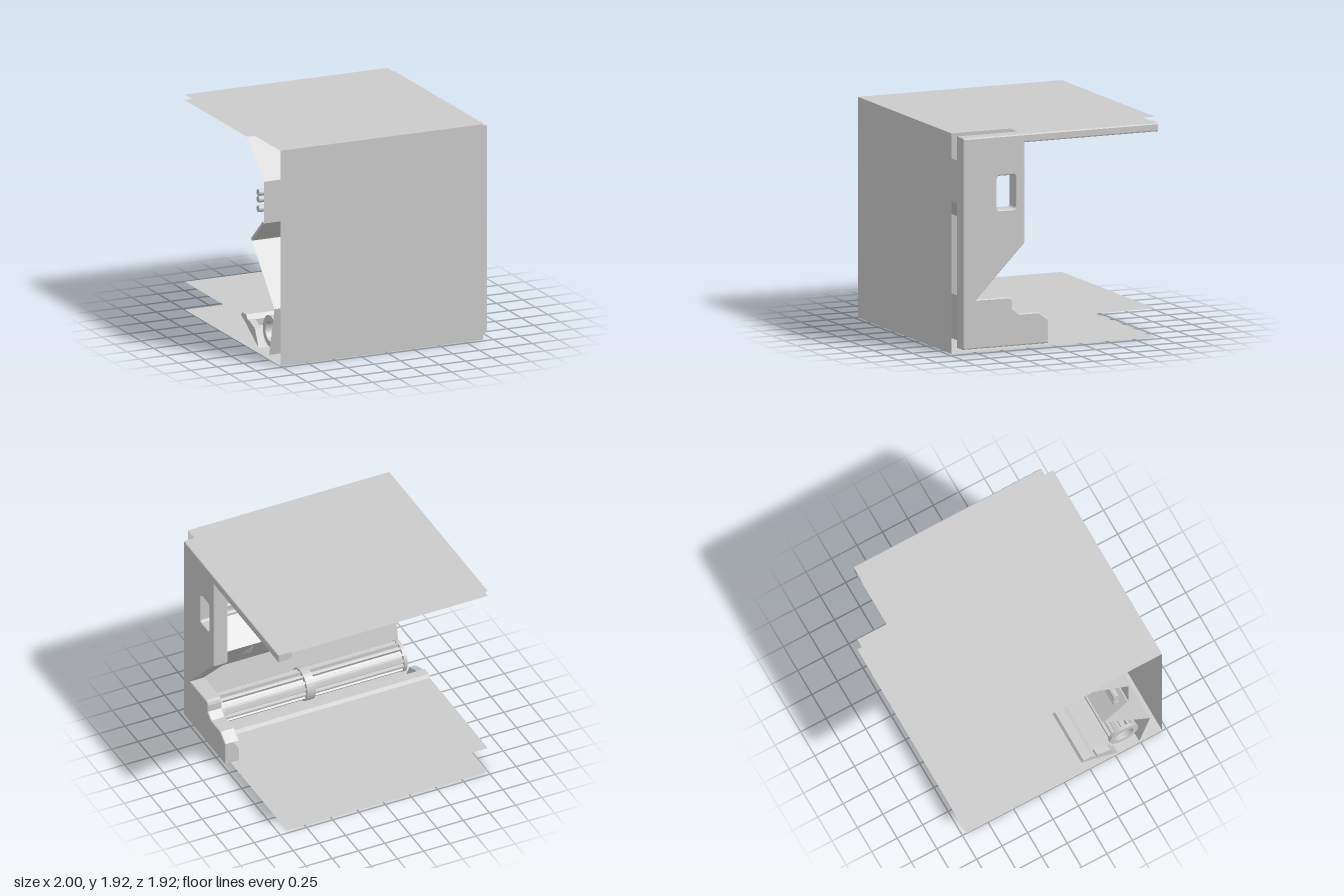
import * as THREE from 'three';

const grey = new THREE.MeshStandardMaterial({ color: 0xcccccc, flatShading: true });
const thin = new THREE.MeshStandardMaterial({ color: 0xcccccc, flatShading: true, side: THREE.DoubleSide });
const smooth = new THREE.MeshStandardMaterial({ color: 0xcccccc });

export function createModel() {
  const model = new THREE.Group();

  const add = (name, geometry, material = grey, parent = model) => {
    const mesh = new THREE.Mesh(geometry, material);
    mesh.name = name;
    parent.add(mesh);
    return mesh;
  };
  const group = (name) => {
    const g = new THREE.Group();
    g.name = name;
    model.add(g);
    return g;
  };
  // Open sheet: a [z, y] profile swept along x
  const sheet = (profile, x0, x1) => {
    const pos = [];
    for (let i = 0; i < profile.length - 1; i++) {
      const [az, ay] = profile[i], [bz, by] = profile[i + 1];
      pos.push(x0, ay, az, x1, ay, az, x1, by, bz, x0, ay, az, x1, by, bz, x0, by, bz);
    }
    const g = new THREE.BufferGeometry();
    g.setAttribute('position', new THREE.Float32BufferAttribute(pos, 3));
    g.computeVertexNormals();
    return g;
  };
  // Solid: a closed [z, y] outline extruded from x0 to x1
  const solid = (outline, x0, x1, bevel = 0, hole = null) => {
    const shape = new THREE.Shape(outline.map(([z, y]) => new THREE.Vector2(z, y)));
    if (hole) shape.holes.push(hole);
    const g = new THREE.ExtrudeGeometry(shape, {
      depth: x1 - x0 - 2 * bevel, bevelEnabled: bevel > 0, bevelSize: bevel,
      bevelThickness: bevel, bevelOffset: -bevel, bevelSegments: 2, curveSegments: 6,
    });
    g.rotateY(-Math.PI / 2);
    g.translate(x1 - bevel, 0, 0);
    return g;
  };
  const rodX = (r, x0, x1, y, z, sides = 14) => {
    const g = new THREE.CylinderGeometry(r, r, x1 - x0, sides);
    g.rotateZ(Math.PI / 2);
    g.translate((x0 + x1) / 2, y, z);
    return g;
  };

  // Outer shell: top, front and bottom sheets, open at the back and one side
  add('outerShell', sheet([[-0.96, 1.92], [0.96, 1.92], [0.96, 0], [-0.96, 0]], -1, 0.92), thin);

  // Folded inner lining: ceiling, back wall, chute, trough and lower deck
  add('innerLining', sheet([
    [-0.96, 1.87], [0.29, 1.87], [0.63, 1.557], [0.63, 1.185], [0.39, 0.97],
    [0.84, 0.476], [0.735, 0.04], [0.52, 0.045], [0.2, 0.25], [-0.96, 0.25],
  ], -1, 0.92), thin);

  // Thick side plate with a rounded window
  const win = new THREE.Path();
  const [z0, z1, y0, y1, r] = [0.39, 0.565, 1.235, 1.53, 0.03];
  win.moveTo(z0 + r, y0);
  win.lineTo(z1 - r, y0).quadraticCurveTo(z1, y0, z1, y0 + r);
  win.lineTo(z1, y1 - r).quadraticCurveTo(z1, y1, z1 - r, y1);
  win.lineTo(z0 + r, y1).quadraticCurveTo(z0, y1, z0, y1 - r);
  win.lineTo(z0, y0 + r).quadraticCurveTo(z0, y0, z0 + r, y0);
  add('sidePlate', solid([
    [0.885, 0.04], [0.885, 1.88], [-0.955, 1.88], [-0.955, 1.805], [0.305, 1.805], [0.305, 0.93],
    [0.76, 0.47], [0.455, 0.47], [0.43, 0.46], [0.42, 0.435], [0.42, 0.37], [0.355, 0.32],
    [0.175, 0.32], [0.08, 0.25], [0.08, 0.04],
  ], 0.86, 1, 0.012, win));

  // Support arm under the ceiling
  add('ceilingArm', solid([
    [0.63, 1.557], [0.63, 1.47], [0.31, 1.77], [0.1, 1.77], [0.07, 1.81], [0.07, 1.87], [0.29, 1.87],
  ], -0.14, -0.02, 0.008));

  // Three pipes along the back wall, turning into it at one end
  const pipes = group('pipes');
  for (const y of [1.285, 1.37, 1.43]) {
    add('pipe', rodX(0.022, -0.98, 0.8, y, 0.51), smooth, pipes);
    add('pipeElbow', new THREE.SphereGeometry(0.022, 14, 8).translate(0.8, y, 0.51), smooth, pipes);
    add('pipeInlet', new THREE.CylinderGeometry(0.022, 0.022, 0.12, 14)
      .rotateX(Math.PI / 2).translate(0.8, y, 0.57), smooth, pipes);
    for (const [a, b] of [[-1, -0.86], [-0.82, -0.74], [0.36, 0.43]]) {
      add('pipeSleeve', rodX(0.03, a, b, y, 0.51), smooth, pipes);
    }
  }

  // Raised slabs on the upper chute: u runs up the slope, h is the height off it
  const chute = group('chutePanels');
  const at = (u, h) => [0.39 + 0.24 * u - 0.667 * h, 0.97 + 0.215 * u + 0.745 * h];
  const slab = (name, x0, x1, u0, u1, h0, h1) =>
    add(name, solid([at(u0, h0), at(u1, h0), at(u1, h1), at(u0, h1)], x0, x1), grey, chute);
  for (const [a, b] of [[-1, -0.76], [-0.35, 0.27], [0.64, 0.86]]) slab('chuteSlab', a, b, 0, 1, 0, 0.025);
  for (const [a, b] of [[-0.76, -0.35], [0.27, 0.64]]) slab('chuteLip', a, b, 0, 0.3, 0, 0.025);
  slab('combRailLow', -0.25, 0.17, 0.3, 0.36, 0.025, 0.035);
  slab('combRailHigh', -0.25, 0.17, 0.72, 0.78, 0.025, 0.035);
  for (let i = 0; i < 18; i++) {
    const x = -0.25 + i * 0.0238;
    slab('combTooth', x, x + 0.012, 0.36, 0.45, 0.025, 0.033);
  }

  // Thin wedge fins under the chute
  const fins = group('fins');
  for (const x of [-0.62, -0.05, 0.57]) {
    add('fin', solid([[0.41, 0.948], [0.47, 0.83], [0.62, 0.718]], x - 0.01, x + 0.01), grey, fins);
  }

  // Ribbed hollow roller lying in the trough
  const roller = group('roller');
  const [ry, rz] = [0.215, 0.62];
  const ring = (name, rIn, rOut, x0, x1) => {
    const pts = [[rIn, x0], [rOut, x0], [rOut, x1], [rIn, x1], [rIn, x0]];
    const g = new THREE.LatheGeometry(pts.map((p) => new THREE.Vector2(...p)), 32);
    g.rotateZ(-Math.PI / 2);
    g.translate(0, ry, rz);
    add(name, g, thin, roller);
  };
  ring('rollerTube', 0.09, 0.105, -0.92, 0.85);
  ring('endRing', 0.09, 0.14, -0.94, -0.91);
  ring('middleCollar', 0.1, 0.15, -0.06, 0.02);
  ring('farCollar', 0.09, 0.15, 0.8, 0.86);
  for (let i = 0; i < 14; i++) {
    const rib = new THREE.BoxGeometry(1.75, 0.035, 0.022);
    rib.translate(-0.04, 0.118, 0);
    rib.rotateX((i / 14) * Math.PI * 2);
    rib.translate(0, ry, rz);
    add('rollerRib', rib, grey, roller);
  }

  // Raised lip where the lower deck meets the trough
  add('deckLip', solid([[0.17, 0.25], [0.19, 0.28], [0.27, 0.28], [0.31, 0.24], [0.31, 0.18]], -1, 0.86));
  add('rollerRest', solid([[0.3, 0.18], [0.32, 0.25], [0.45, 0.2], [0.52, 0.05]], -1, -0.94));

  return model;
}
